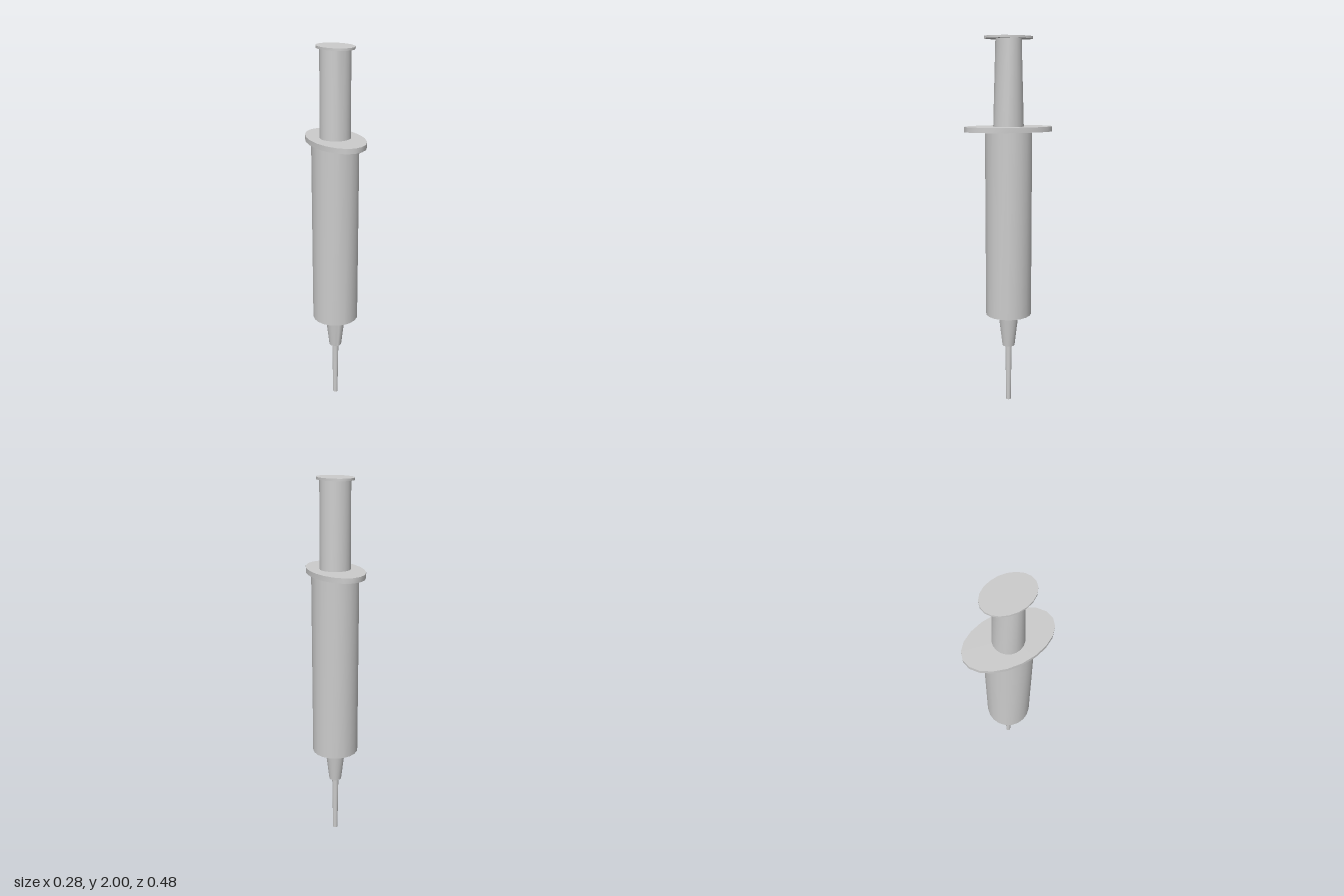
import * as THREE from 'three';

const SIDES = 20;
const material = new THREE.MeshStandardMaterial({ color: 0xcccccc });

// Capped round section between two heights; top and bottom are [radiusX, radiusZ]
function section(name, y0, y1, bottom, top) {
  const geometry = new THREE.CylinderGeometry(1, 1, y1 - y0, SIDES);
  geometry.translate(0, (y0 + y1) / 2, 0);
  const p = geometry.attributes.position;
  for (let i = 0; i < p.count; i++) {
    const t = (p.getY(i) - y0) / (y1 - y0);
    p.setX(i, p.getX(i) * THREE.MathUtils.lerp(bottom[0], top[0], t));
    p.setZ(i, p.getZ(i) * THREE.MathUtils.lerp(bottom[1], top[1], t));
  }
  geometry.computeVertexNormals();
  // Share the normal across the seam of the side wall
  const n = geometry.attributes.normal;
  for (const row of [0, SIDES + 1]) {
    for (const i of [row, row + SIDES]) n.setXYZ(i, 0, 0, 1);
  }
  const mesh = new THREE.Mesh(geometry, material);
  mesh.name = name;
  return mesh;
}

export function createModel() {
  const model = new THREE.Group();
  model.name = 'syringe';
  model.add(
    section('needle', 0, 0.33, [0.013, 0.013], [0.018, 0.018]),
    section('needleHub', 0.325, 0.51, [0.034, 0.034], [0.056, 0.056]),
    section('barrel', 0.51, 1.515, [0.125, 0.125], [0.125, 0.125]),
    // Oval finger grip, long from front to back
    section('fingerFlange', 1.513, 1.54, [0.14, 0.238], [0.14, 0.238]),
    // Plunger narrows only in depth towards the thumb rest
    section('plunger', 1.535, 1.992, [0.081, 0.081], [0.081, 0.067]),
    section('thumbRest', 1.988, 2, [0.092, 0.13], [0.092, 0.13]),
  );
  return model;
}
